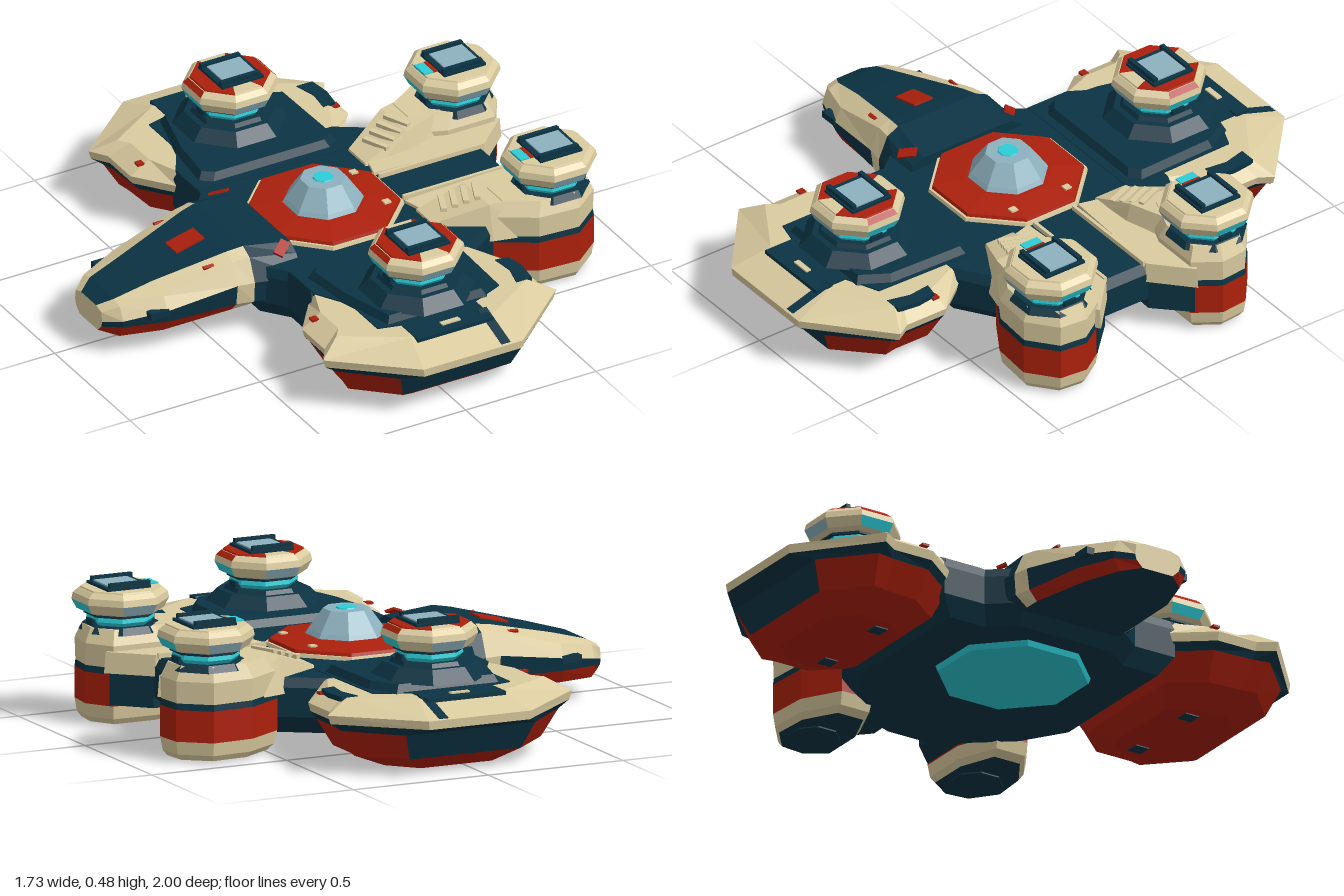
import * as THREE from 'three';

const mat = (name, color) => Object.assign(new THREE.MeshStandardMaterial({ color }), { name });
const tan = mat('sand', 0xdacb9f), teal = mat('deep teal', 0x0b3343), red = mat('rust red', 0xac200c),
  cyan = mat('cyan', 0x2ccdd8), glass = mat('pale glass', 0x8db1be);

// Skins a stack of equal-length rings; pick(band, segment) gives the colour (band -1 / last = caps)
function loft(name, rings, pick) {
  const byMat = new Map(), n = rings[0].length, last = rings.length - 1;
  const add = (m, ...p) => { if (!byMat.has(m)) byMat.set(m, []); byMat.get(m).push(p); };
  for (let b = 0; b < last; b++) for (let i = 0; i < n; i++) {
    const j = (i + 1) % n, [p, q] = [rings[b], rings[b + 1]];
    add(pick(b, i), p[i], q[i], q[j]);
    add(pick(b, i), p[i], q[j], p[j]);
  }
  const mid = r => [0, 1, 2].map(k => r.reduce((s, p) => s + p[k], 0) / n);
  for (let i = 0; i < n; i++) {
    const j = (i + 1) % n;
    add(pick(-1, i), mid(rings[0]), rings[0][i], rings[0][j]);
    add(pick(last, i), mid(rings[last]), rings[last][j], rings[last][i]);
  }
  // turn the faces outward, whichever way the rings run
  const o = new THREE.Vector3(...mid(rings[0])), v = p => new THREE.Vector3(...p).sub(o);
  let vol = 0;
  for (const l of byMat.values()) for (const [a, b, c] of l) vol += v(a).dot(v(b).cross(v(c)));
  const pos = [], mats = [], geo = new THREE.BufferGeometry();
  for (const [m, l] of byMat) {
    geo.addGroup(pos.length / 3, l.length * 3, mats.length);
    mats.push(m);
    for (const [a, b, c] of l) pos.push(...a, ...(vol < 0 ? [...c, ...b] : [...b, ...c]));
  }
  geo.setAttribute('position', new THREE.Float32BufferAttribute(pos, 3));
  geo.computeVertexNormals();
  const mesh = new THREE.Mesh(geo, mats.length > 1 ? mats : mats[0]);
  mesh.name = name;
  return mesh;
}

// Lays an outline of [x, z] points flat at height y, scaled about (cx, cz)
const ring = (pts, y, sx = 1, sz = sx, cx = 0, cz = 0) =>
  pts.map(([x, z]) => [cx + (x - cx) * sx, y, cz + (z - cz) * sz]);
const flip = (pts, s) => pts.map(([x, z]) => [x, z * s]);
const octagon = (r, cx = 0, cz = 0) => Array.from({ length: 8 }, (_, i) => {
  const a = (i + 0.5) * Math.PI / 4;
  return [cx + Math.cos(a) * r, cz + Math.sin(a) * r];
});
const prism = (name, pts, y0, y1, m, top = 1, cx = 0, cz = 0) =>
  loft(name, [ring(pts, y0), ring(pts, y1, top, top, cx, cz)], () => m);
function box(name, w, h, d, x, y, z, m, ry = 0, rx = 0) {
  const b = new THREE.Mesh(new THREE.BoxGeometry(w, h, d), m);
  b.position.set(x, y, z);
  b.rotation.set(rx, ry, 0);
  b.name = name;
  return b;
}

// Gun turret: stepped base, glowing neck, faceted ring and sight housing
function turret(x, z, cheeks) {
  const g = new THREE.Group();
  g.name = 'turret';
  g.position.set(x, 0, z);
  const stack = (name, list, pick) => loft(name, list.map(([r, y]) => ring(octagon(r), y)), pick);
  g.add(
    stack('turretBase', [[0.14, 0.31], [0.125, 0.334]], () => teal),
    stack('turretNeck', [[0.1, 0.33], [0.114, 0.347], [0.108, 0.375]], () => cyan),
    stack('neckCollar', [[0.122, 0.364], [0.122, 0.374]], () => teal),
    // windows: pale on the z sides, cyan on the x sides
    stack('turretRing', [[0.115, 0.37], [0.146, 0.38], [0.163, 0.412], [0.158, 0.434], [0.14, 0.45]],
      (b, i) => b < 0 ? teal : b === 1 && i % 4 === 1 ? glass : b === 1 && i % 4 === 3 ? cyan
        : b === 3 && i % 4 === 3 ? cheeks : tan),
    stack('turretDeck', [[0.137, 0.449], [0.134, 0.455]], (b, i) => i % 4 === 1 ? tan : cheeks),
    box('sightHousing', 0.16, 0.014, 0.16, 0.005, 0.457, 0, teal),
    box('sightGlass', 0.125, 0.006, 0.14, 0.008, 0.466, 0, glass));
  for (const s of [1, -1]) g.add(
    box('sightRail', 0.15, 0.024, 0.016, 0, 0.467, s * 0.066, teal),
    box('neckClamp', 0.03, 0.02, 0.05, s * 0.1, 0.342, 0, teal));
  if (cheeks === tan) g.add(
    box('sightLamp', 0.035, 0.008, 0.07, -0.108, 0.455, 0, cyan),
    box('lampTrim', 0.014, 0.008, 0.07, -0.083, 0.456, 0, red));
  return g;
}

// Large hull pod on each flank, with deck, platform and turret
function sidePod(s) {
  const g = new THREE.Group();
  g.name = s > 0 ? 'frontPod' : 'backPod';
  const rim = flip([[-0.16, 1], [0.22, 1], [0.48, 0.77], [0.45, 0.72], [0.45, 0.56], [0.34, 0.42], [0.3, 0.3],
    [-0.28, 0.3], [-0.28, 0.44], [-0.38, 0.57], [-0.38, 0.72], [-0.42, 0.78]], s);
  const top = flip([[-0.13, 0.86], [0.19, 0.86], [0.39, 0.73], [0.38, 0.69], [0.38, 0.57], [0.31, 0.42], [0.3, 0.3],
    [-0.26, 0.3], [-0.26, 0.44], [-0.31, 0.57], [-0.31, 0.69], [-0.34, 0.73]], s);
  const belly = flip([[-0.21, 0.93], [0.27, 0.93], [0.43, 0.77], [0.42, 0.72], [0.42, 0.56], [0.33, 0.46], [0.28, 0.43],
    [-0.25, 0.43], [-0.28, 0.48], [-0.35, 0.57], [-0.36, 0.72], [-0.37, 0.78]], s);
  const c = [0.03, 0.66 * s];
  g.add(loft('podHull', [ring(belly, 0.005, 0.55, 0.6, ...c), ring(belly, 0.055, 0.86, 0.85, ...c), ring(belly, 0.148, 1, 1, ...c),
    ring(rim, 0.175, 0.98, 0.99, ...c), ring(rim, 0.205), ring(top, 0.25)],
  (b, i) => b === 2 || (b === 1 && i === 0) ? teal : b < 2 ? red : tan));
  g.add(prism('podDeck', flip([[-0.12, 0.89], [0.17, 0.89], [0.17, 0.77], [0.29, 0.72], [0.3, 0.3], [-0.27, 0.3],
    [-0.27, 0.46], [-0.2, 0.58], [-0.2, 0.76], [-0.12, 0.78]], s), 0.24, 0.254, teal));
  g.add(prism('podPlatform', flip([[-0.16, 0.76], [0.22, 0.76], [0.28, 0.66], [0.29, 0.36], [0.25, 0.33], [-0.2, 0.33],
    [-0.24, 0.36], [-0.22, 0.54]], s), 0.25, 0.28, teal, 0.93, 0.03, 0.56 * s));
  g.add(prism('turretPlinth', octagon(0.2, 0.03, 0.62 * s), 0.275, 0.32, teal, 0.78, 0.03, 0.62 * s));
  g.add(prism('deckHatch', flip([[0.35, 0.73], [0.41, 0.73], [0.42, 0.65], [0.41, 0.58], [0.36, 0.57], [0.37, 0.65]], s), 0.236, 0.253, teal));
  g.add(box('rimSlot', 0.035, 0.008, 0.17, 0.16, 0.231, 0.91 * s, teal, 0, 0.31 * s));
  g.add(box('deckMark', 0.07, 0.006, 0.02, 0.03, 0.256, 0.845 * s, tan));
  for (const x of [-0.34, 0.41]) g.add(box('cornerMark', 0.025, 0.008, 0.025, x, 0.238, 0.58 * s, red));
  for (const x of [-0.12, 0.18]) g.add(box('bellyPort', 0.05, 0.01, 0.05, x, 0.006, 0.62 * s, teal));
  g.add(turret(0.03, 0.62 * s, red));
  return g;
}

// Banded rear tower with a ramp back to the main hull
function rearPod(s) {
  const g = new THREE.Group();
  g.name = s > 0 ? 'frontRearTower' : 'backRearTower';
  const plan = flip([[0.47, 0.37], [0.6, 0.45], [0.75, 0.46], [0.85, 0.38], [0.86, 0.28], [0.8, 0.19], [0.62, 0.19], [0.47, 0.25]], s);
  const c = [0.71, 0.325 * s];
  const levels = [[0.01, 0.85], [0.03, 0.95], [0.075, 1], [0.183, 1], [0.205, 0.98], [0.28, 1], [0.33, 0.84]];
  const bands = [tan, tan, red, teal, tan, tan, tan];
  g.add(loft('towerHull', levels.map(([y, k]) => ring(plan, y, k, k, ...c)), b => bands[b] || teal));
  g.add(prism('towerPort', octagon(0.09, ...c), 0.005, 0.012, teal));
  g.add(prism('rearShoulder', flip([[0.28, 0.1], [0.7, 0.08], [0.83, 0.2], [0.66, 0.31], [0.32, 0.25]], s), 0.19, 0.262, tan, 0.98, 0.5, 0.18 * s));
  g.add(prism('shoulderSkirt', flip([[0.3, 0.1], [0.7, 0.09], [0.81, 0.2], [0.66, 0.3], [0.32, 0.25]], s), 0.08, 0.19, teal));
  // sloping ramp with steps
  g.add(loft('ramp', [[0.29, 0.15, 0.3, 0.262, 0.02], [0.46, 0.16, 0.39, 0.325, 0.03], [0.62, 0.2, 0.43, 0.332, 0.04]].map(([x, a, b, y, e]) =>
    [[x, 0.2, a * s], [x, y, (a + e) * s], [x, y, (b - e) * s], [x, 0.2, b * s]]), () => tan));
  for (let i = 0; i < 4; i++)
    g.add(box('rampStep', 0.02, 0.014, 0.1, 0.36 + i * 0.035, 0.292 + i * 0.012, (0.22 + i * 0.014) * s, tan, -0.4 * s));
  g.add(turret(0.71, 0.32 * s, tan));
  return g;
}

// Tapering bow arm pointing along -x
function bowArm() {
  const g = new THREE.Group();
  g.name = 'bowArm';
  // each row: x, then [z, y] from the top edge down to the keel edge
  const rows = [
    [-0.87, [0.05, 0.175], [0.085, 0.165], [0.09, 0.13], [0.085, 0.11], [0.06, 0.085]],
    [-0.82, [0.08, 0.2], [0.12, 0.19], [0.145, 0.145], [0.14, 0.12], [0.12, 0.077]],
    [-0.68, [0.1, 0.24], [0.17, 0.215], [0.197, 0.17], [0.19, 0.126], [0.165, 0.082]],
    [-0.43, [0.15, 0.302], [0.195, 0.285], [0.23, 0.21], [0.22, 0.135], [0.19, 0.1]],
    [-0.37, [0.16, 0.312], [0.205, 0.29], [0.24, 0.21], [0.235, 0.135], [0.19, 0.1]],
    [-0.2, [0.18, 0.29], [0.22, 0.265], [0.27, 0.2], [0.25, 0.12], [0.16, 0.1]]];
  const rings = rows.map(([x, ...p]) => [...p.map(([z, y]) => [x, y, z]), ...p.reverse().map(([z, y]) => [x, y, -z])]);
  g.add(loft('armHull', rings, (b, i) => {
    const k = i > 4 ? 8 - i : i;
    if (b < 0) return tan;
    if (i === 9 || i === 4 || b >= 4) return teal;
    return b === 3 ? tan : [tan, tan, teal, red][k];
  }));
  const mark = box('armMark', 0.11, 0.008, 0.075, -0.5, 0.287, 0, red);
  mark.rotation.z = 0.245;
  g.add(mark);
  for (const s of [1, -1]) g.add(
    box('armProbe', 0.07, 0.025, 0.03, -0.71, 0.165, s * 0.185, teal),
    box('armSlit', 0.05, 0.008, 0.012, -0.5, 0.274, s * 0.165, red, 0, s * 0.4),
    box('hullMark', 0.065, 0.008, 0.035, -0.25, 0.293, s * 0.21, red, s * 0.7, s * 0.5));
  return g;
}

export function createModel() {
  const model = new THREE.Group();
  model.name = 'starship';
  const half = [[0.7, 0.1], [0.5, 0.35], [0.33, 0.46], [-0.28, 0.46], [-0.28, 0.3], [-0.36, 0.2]];
  const plan = [...half, ...flip(half, -1).reverse()];
  model.add(loft('mainHull', [ring(plan, 0.055, 0.88, 0.9), ring(plan, 0.12), ring(plan, 0.22), ring(plan, 0.252, 0.97)], () => teal));
  model.add(prism('bellyLight', octagon(0.255), 0.036, 0.06, cyan, 1.04));
  // bridge: trimmed red collar under a faceted dome
  const at = (r, y) => ring(octagon(r, 0.03), y);
  model.add(
    loft('bridgeTrim', [at(0.275, 0.245), at(0.27, 0.264)], () => tan),
    loft('bridgeCollar', [at(0.264, 0.255), at(0.257, 0.275), at(0.15, 0.29)], () => red),
    loft('bridgeDome', [at(0.143, 0.28), at(0.128, 0.305), at(0.078, 0.375)], () => glass),
    loft('domeLamp', [at(0.038, 0.372), at(0.034, 0.379)], () => cyan));
  for (const s of [1, -1]) model.add(sidePod(s), rearPod(s),
    box('collarMark', 0.025, 0.006, 0.025, 0.21, 0.284, s * 0.11, tan),
    box('spineRail', 0.4, 0.02, 0.012, 0.49, 0.258, s * 0.08, tan));
  model.add(bowArm());
  return model;
}
